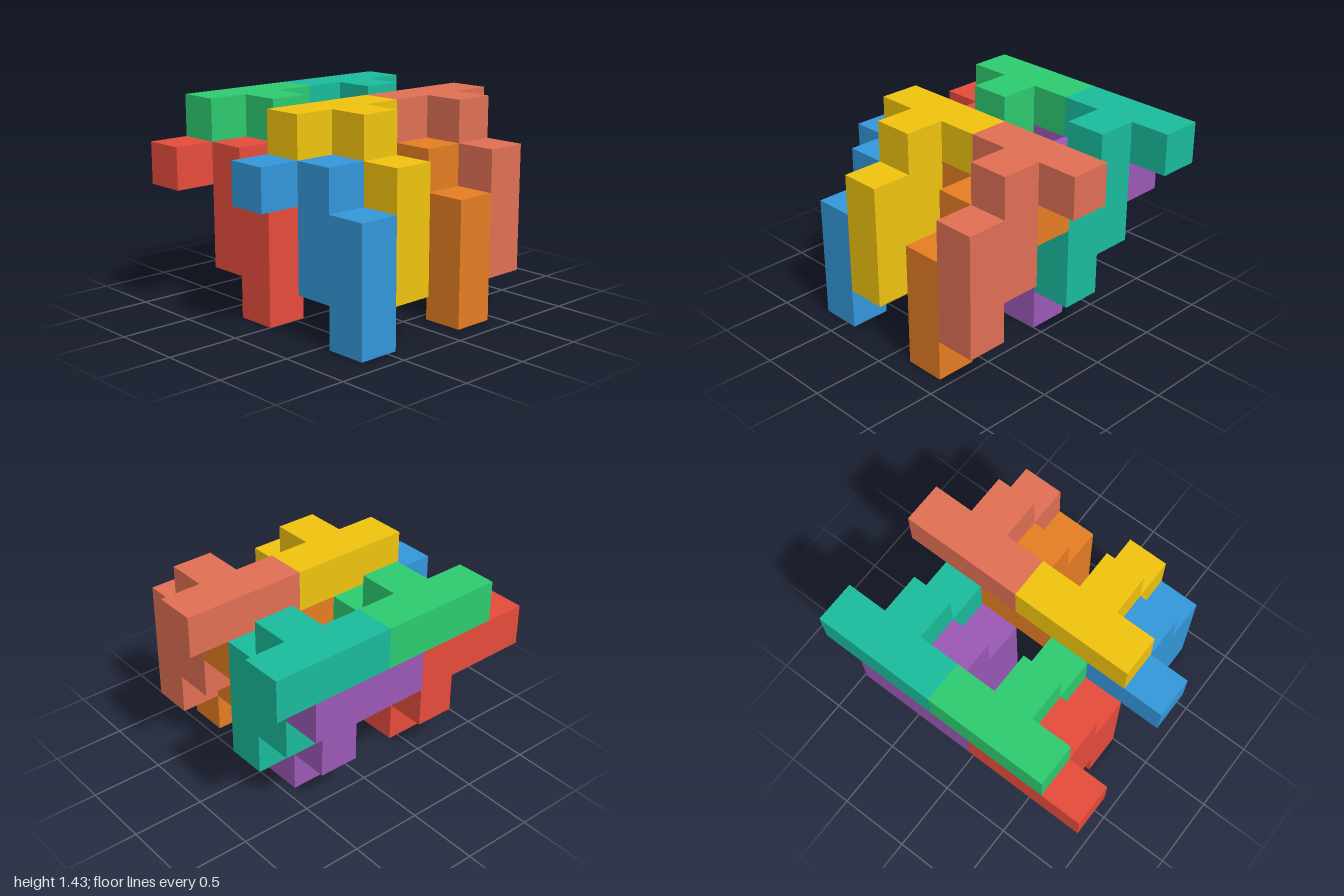
import * as THREE from 'three';

const U = 2 / 7; // edge of one cube cell

const outline = (points) =>
  new THREE.Shape(points.map(([a, b]) => new THREE.Vector2(a * U, b * U)));
const extrude = (points) =>
  new THREE.ExtrudeGeometry(outline(points), { depth: U, bevelEnabled: false });

// T-shaped top layer, outlined in (x, z) and one cell thick
function crossbarGeometry() {
  return extrude([[-1, 0], [2, 0], [2, 1], [1, 1], [1, 2], [0, 2], [0, 1], [-1, 1]])
    .rotateX(Math.PI / 2);
}

// Stepped leg, outlined in (z, y) and one cell wide
function legGeometry() {
  return extrude([[1, -3], [2, -3], [2, -4], [3, -4], [3, -1], [1, -1]])
    .rotateY(-Math.PI / 2)
    .translate(U, 0, 0);
}

export function createModel() {
  const model = new THREE.Group();
  model.name = 'interlockingBlocks';
  const crossbar = crossbarGeometry();
  const leg = legGeometry();

  // Each piece: name, color, cell position of its leg column (x, top y, z)
  const pieces = [
    ['yellowPiece', 0xf1c40f, 2, 5, 3],
    ['bluePiece', 0x3498db, 1, 4, 3],
    ['coralPiece', 0xe17055, 5, 5, 3],
    ['orangePiece', 0xe67e22, 4, 4, 3],
    ['greenPiece', 0x2ecc71, 2, 5, 0],
    ['redPiece', 0xe74c3c, 1, 4, 0],
    ['tealPiece', 0x1abc9c, 5, 5, 0],
    ['purplePiece', 0x9b59b6, 4, 4, 0],
  ];

  for (const [name, color, x, y, z] of pieces) {
    const piece = new THREE.Group();
    piece.name = name;
    const material = new THREE.MeshStandardMaterial({ color });
    for (const [part, geometry] of [['crossbar', crossbar], ['steppedLeg', leg]]) {
      const mesh = new THREE.Mesh(geometry, material);
      mesh.name = part;
      piece.add(mesh);
    }
    piece.position.set((x - 3.5) * U, y * U, (z - 3) * U);
    model.add(piece);
  }
  return model;
}
